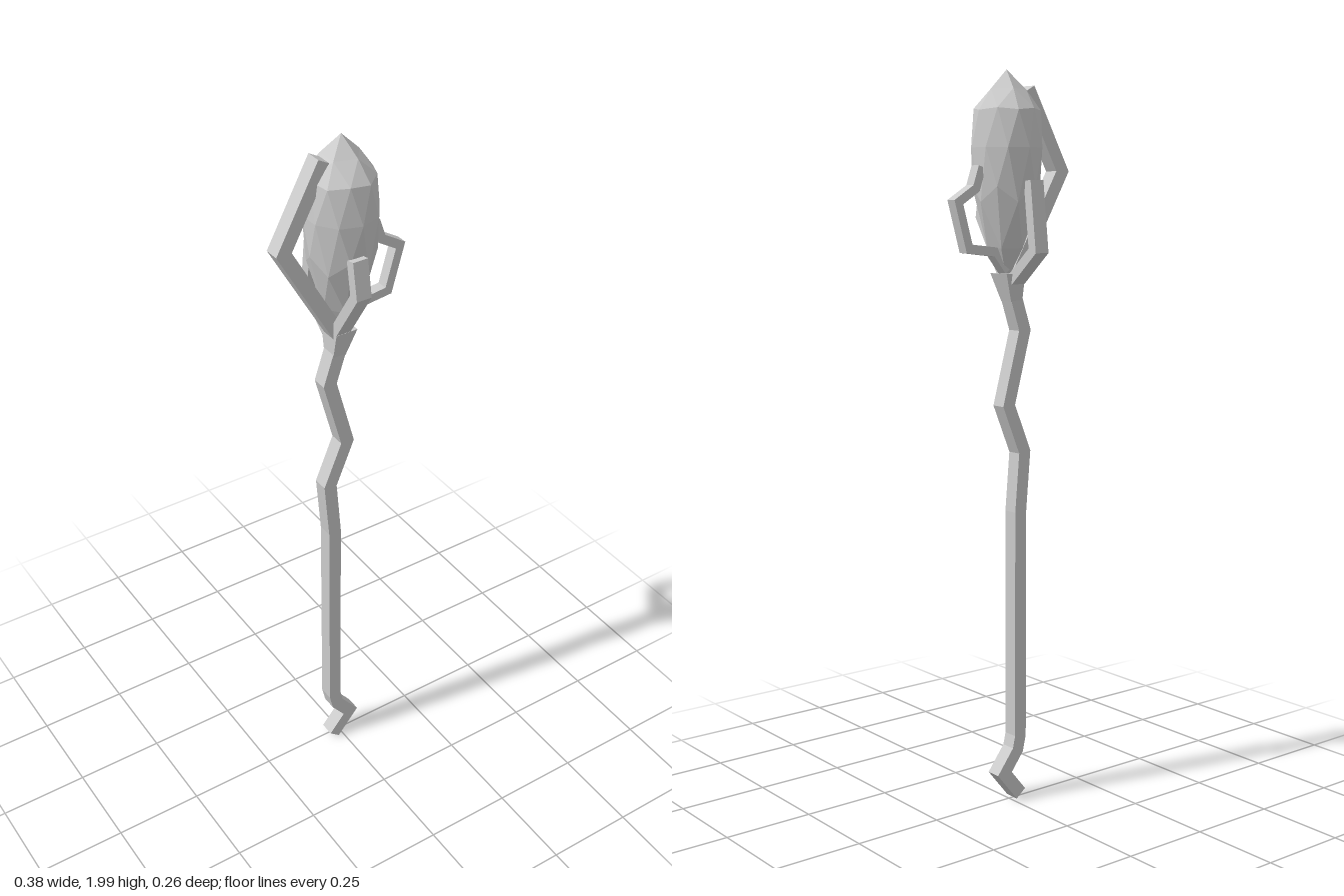
import * as THREE from 'three';

const material = new THREE.MeshStandardMaterial({ color: 0xcccccc, flatShading: true });

// Flat bar of rectangular section following a polyline, with mitred corners
function bar(name, points, thickness, depth) {
  const p = points.map(([x, y]) => new THREE.Vector2(x, y));
  const normal = (a, b) => {
    const d = b.clone().sub(a).normalize();
    return new THREE.Vector2(-d.y, d.x);
  };
  const left = [], right = [];
  p.forEach((q, i) => {
    const n0 = normal(p[Math.max(i - 1, 0)], p[Math.max(i, 1)]);
    const last = p.length - 1;
    const n1 = normal(p[Math.min(i, last - 1)], p[Math.min(i + 1, last)]);
    const m = n0.clone().add(n1).normalize();
    m.multiplyScalar(thickness / 2 / m.dot(n0));
    left.push(q.clone().add(m));
    right.unshift(q.clone().sub(m));
  });
  const geometry = new THREE.ExtrudeGeometry(new THREE.Shape([...left, ...right]), { depth, bevelEnabled: false });
  geometry.translate(0, 0, -depth / 2);
  const mesh = new THREE.Mesh(geometry, material);
  mesh.name = name;
  return mesh;
}

// Piecewise linear lookup
function lookup(table, v) {
  for (let i = 1; i < table.length; i++) {
    const [a, ya] = table[i - 1], [b, yb] = table[i];
    if (v <= b) return THREE.MathUtils.lerp(ya, yb, (v - a) / (b - a));
  }
  return table[table.length - 1][1];
}

// Faceted egg-shaped crystal, one icosahedron corner pointing up
function crystal() {
  const geometry = new THREE.IcosahedronGeometry(1, 1);
  geometry.rotateX(-Math.atan((1 + Math.sqrt(5)) / 2));
  geometry.rotateY(Math.PI / 2);
  const heights = [[-1, 1.45], [-0.85, 1.54], [-0.526, 1.66], [-0.447, 1.7], [0, 1.8],
    [0.447, 1.895], [0.526, 1.9], [0.85, 1.95], [1, 2]];
  const pos = geometry.attributes.position;
  for (let i = 0; i < pos.count; i++) {
    const y = pos.getY(i);
    const r = 0.097 * (Math.abs(y) > 0.3 && Math.abs(y) < 0.7 ? 1.04 : 1);
    pos.setXYZ(i, 0.004 + pos.getX(i) * r, lookup(heights, y), 0.005 + pos.getZ(i) * r);
  }
  geometry.computeVertexNormals();
  const mesh = new THREE.Mesh(geometry, material);
  mesh.name = 'crystal';
  return mesh;
}

// Square socket flaring from the shaft to the prongs
function socket() {
  const geometry = new THREE.CylinderGeometry(0.035 * Math.SQRT2, 0.021 * Math.SQRT2, 0.075, 4);
  geometry.rotateY(Math.PI / 4);
  const pos = geometry.attributes.position;
  for (let i = 0; i < pos.count; i++) pos.setX(i, pos.getX(i) * 0.9 + pos.getY(i) * 0.18);
  geometry.computeVertexNormals();
  const mesh = new THREE.Mesh(geometry, material);
  mesh.name = 'socket';
  mesh.position.set(-0.007, 1.435, 0.005);
  return mesh;
}

export function createModel() {
  const group = new THREE.Group();
  group.name = 'staff';

  // Crooked shaft and the prongs lying in the side-to-side plane
  const shaft = bar('shaft', [[-0.03, 0.02], [0.027, 0.09], [-0.019, 0.15], [-0.028, 0.19], [-0.028, 0.825],
    [-0.042, 0.99], [0.012, 1.12], [-0.042, 1.32], [-0.014, 1.405]], 0.038, 0.043);
  const rightProng = bar('rightProng', [[-0.056, 1.952], [-0.171, 1.74], [-0.012, 1.46]], 0.038, 0.043);
  const leftProng = bar('leftProng', [[0.01, 1.48], [0.05, 1.53], [0.138, 1.54], [0.172, 1.66],
    [0.115, 1.695], [0.096, 1.75]], 0.024, 0.031);
  for (const part of [shaft, rightProng, leftProng]) part.position.z = 0.005;

  // Front and back prongs, turned into the front-to-back plane
  const frontProng = bar('frontProng', [[0.098, 1.715], [0.115, 1.62], [0.018, 1.465]], 0.028, 0.043);
  const backProng = bar('backProng', [[-0.09, 1.715], [-0.111, 1.535], [-0.018, 1.455]], 0.028, 0.043);
  for (const part of [frontProng, backProng]) {
    part.rotation.y = -Math.PI / 2;
    part.position.x = -0.01;
  }

  group.add(shaft, socket(), crystal(), rightProng, leftProng, frontProng, backProng);
  return group;
}
